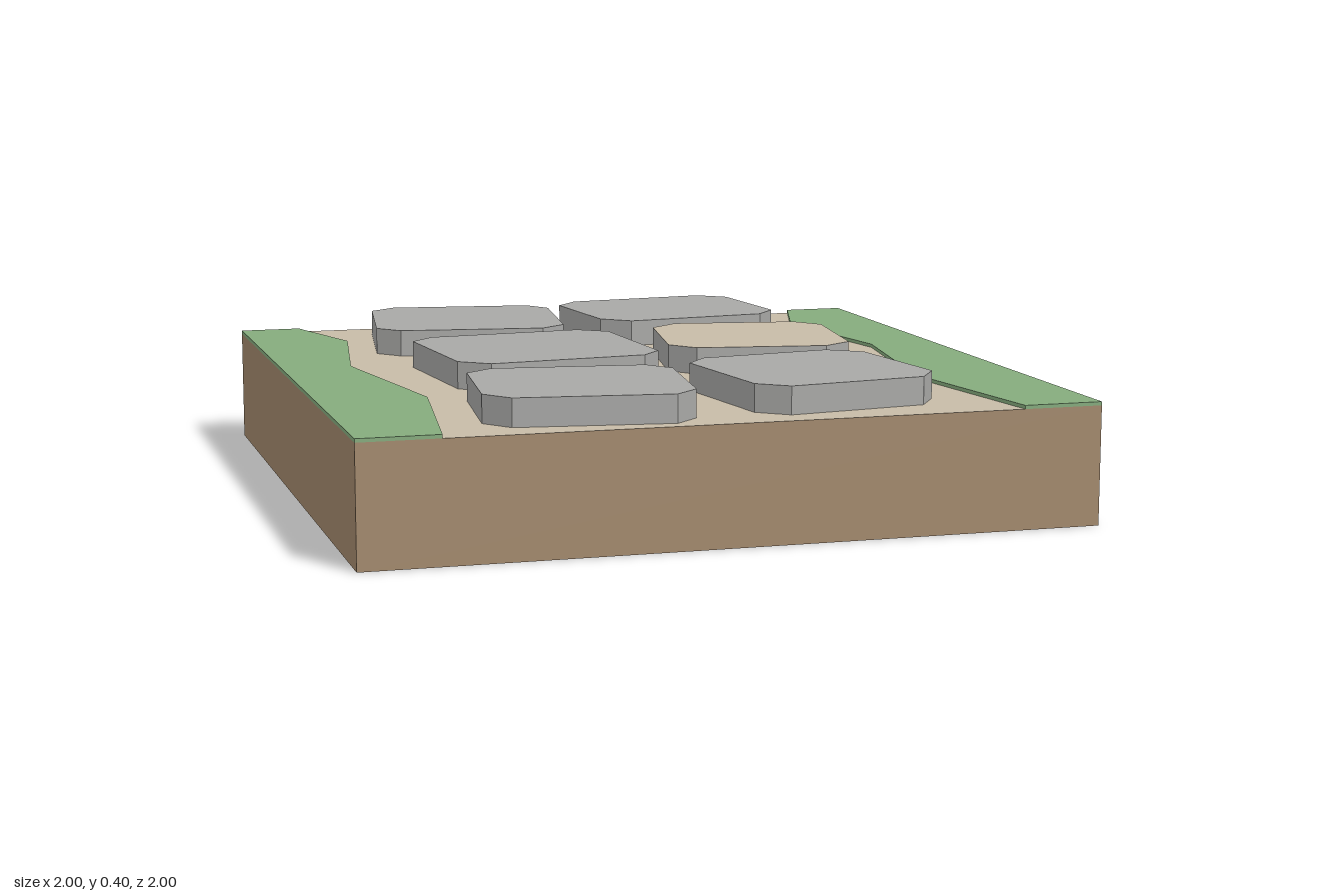
import * as THREE from 'three';

const mat = (name, color) => {
  const m = new THREE.MeshStandardMaterial({ color, flatShading: true });
  m.name = name;
  return m;
};

// Flat slab standing on `bottom`, outlined by [x, z] points seen from above
function slab(name, outline, bottom, height, materials) {
  const shape = new THREE.Shape(outline.map(([x, z]) => new THREE.Vector2(x, -z)));
  const geo = new THREE.ExtrudeGeometry(shape, { depth: height, bevelEnabled: false });
  geo.rotateX(-Math.PI / 2);
  const mesh = new THREE.Mesh(geo, materials);
  mesh.name = name;
  mesh.position.y = bottom;
  return mesh;
}

export function createModel() {
  const group = new THREE.Group();
  group.name = 'steppingStonePath';

  const soil = mat('soil', 0xa3896d);
  const sand = mat('sand', 0xc7bba7);
  const grass = mat('grass', 0x85ab7d);
  const stone = mat('stone', 0xa8a8a6);

  // Soil block with a sandy top face
  const ground = 0.325;
  const base = new THREE.Mesh(
    new THREE.BoxGeometry(2, ground, 2),
    [soil, soil, sand, soil, soil, soil]
  );
  base.name = 'groundBlock';
  base.position.y = ground / 2;
  group.add(base);

  // Grass verges, mirrored on both sides
  const verge = [[1, -1], [0.82, -1], [0.72, -0.68], [0.8, -0.17], [0.7, 0.43], [0.78, 1], [1, 1]];
  for (const [side, name] of [[1, 'leftGrassVerge'], [-1, 'rightGrassVerge']]) {
    group.add(slab(name, verge.map(([x, z]) => [x * side, z]), ground, 0.01, grass));
  }

  // Paving stones with cut corners; one has a sandy top
  const stones = {
    backRightStone: [[-0.53, -0.92], [-0.11, -0.86], [-0.06, -0.78], [-0.11, -0.39],
      [-0.19, -0.33], [-0.61, -0.39], [-0.67, -0.46], [-0.61, -0.86]],
    backLeftStone: [[-0.01, -0.83], [0.06, -0.91], [0.49, -0.955], [0.57, -0.89],
      [0.605, -0.54], [0.54, -0.46], [0.11, -0.41], [0.03, -0.48]],
    middleRightStone: [[-0.55, -0.23], [-0.1, -0.27], [-0.02, -0.21], [0.01, 0.21],
      [-0.05, 0.28], [-0.5, 0.325], [-0.58, 0.26], [-0.62, -0.16]],
    sandyStone: [[0.22, -0.32], [0.58, -0.26], [0.64, -0.18], [0.59, 0.19],
      [0.5, 0.25], [0.13, 0.19], [0.07, 0.11], [0.13, -0.25]],
    frontRightStone: [[-0.52, 0.405], [-0.1, 0.455], [-0.045, 0.53], [-0.09, 0.89],
      [-0.16, 0.955], [-0.58, 0.9], [-0.64, 0.82], [-0.6, 0.465]],
    frontLeftStone: [[0.09, 0.38], [0.47, 0.325], [0.56, 0.39], [0.61, 0.77],
      [0.55, 0.86], [0.16, 0.915], [0.08, 0.85], [0.025, 0.46]],
  };
  for (const [name, outline] of Object.entries(stones)) {
    const top = name === 'sandyStone' ? sand : stone;
    group.add(slab(name, outline, ground, 0.076, [top, stone]));
  }

  return group;
}
